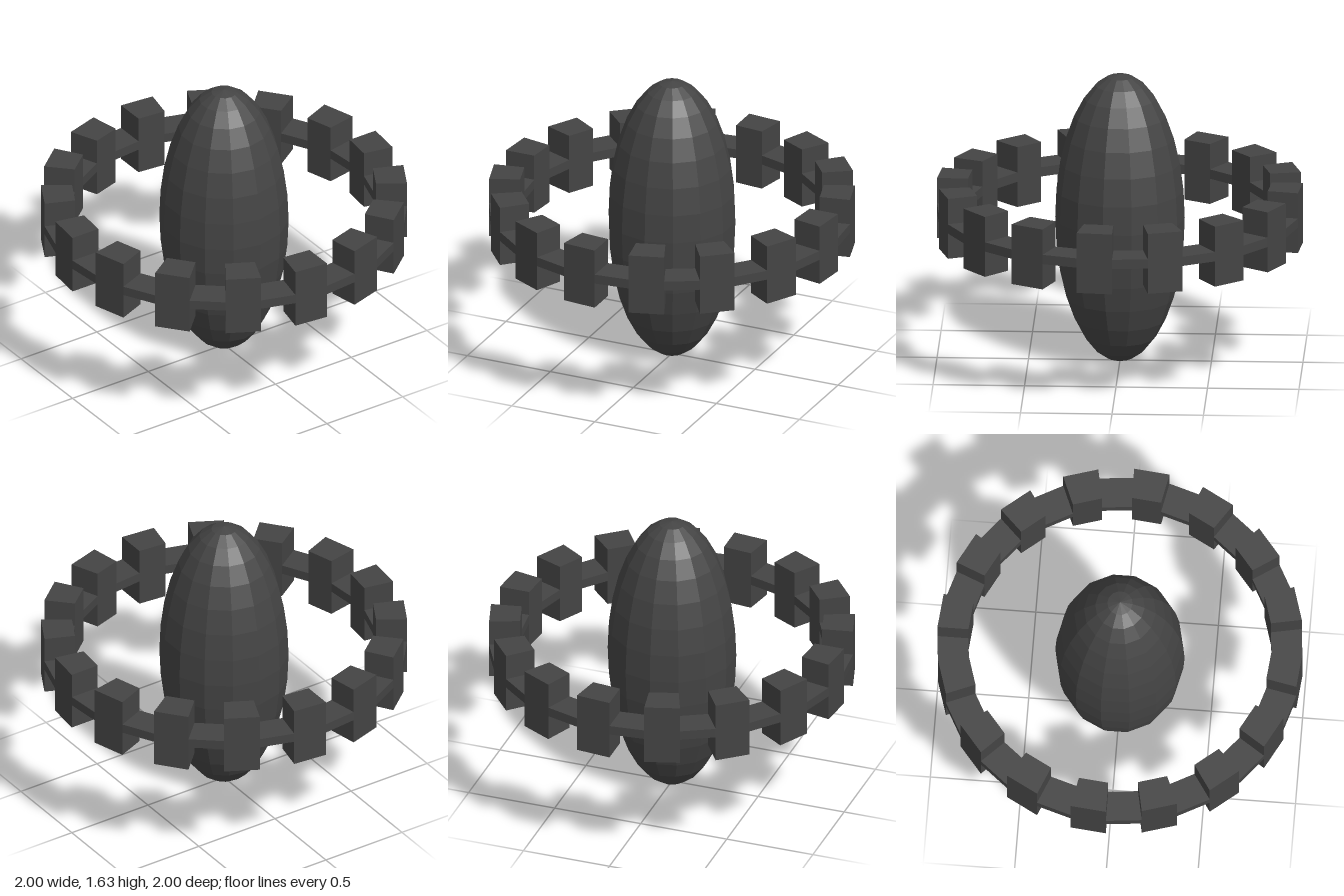
import * as THREE from 'three';

const SEGMENTS = 32;
const OUTER = 1, INNER = 0.83, RING_Y = 0.855;

// One straight-sided ring segment, spanning angles a0 to a1 measured from +z towards +x
function ringSegment(a0, a1, height) {
  const at = (r, a) => new THREE.Vector2(r * Math.sin(a), -r * Math.cos(a));
  const shape = new THREE.Shape([at(OUTER, a0), at(OUTER, a1), at(INNER, a1), at(INNER, a0)]);
  const geo = new THREE.ExtrudeGeometry(shape, { depth: height, bevelEnabled: false });
  return geo.rotateX(-Math.PI / 2).translate(0, RING_Y - height / 2, 0);
}

export function createModel() {
  const model = new THREE.Group();
  model.name = 'ringedPod';
  const material = new THREE.MeshStandardMaterial({ color: 0x444444, flatShading: true });

  // Faceted upright ellipsoid core
  const coreGeo = new THREE.SphereGeometry(1, 14, 16, Math.PI / 2);
  coreGeo.scale(0.354, 0.817, 0.354).translate(0, 0.817, 0);
  const core = new THREE.Mesh(coreGeo, material);
  core.name = 'core';
  model.add(core);

  // Surrounding ring: tall blocks alternating with thin connecting bars
  const ring = new THREE.Group();
  ring.name = 'ring';
  const step = (Math.PI * 2) / SEGMENTS;
  for (let k = 0; k < SEGMENTS; k++) {
    const tall = k % 2 === 1;
    const mesh = new THREE.Mesh(ringSegment(k * step, (k + 1) * step, tall ? 0.342 : 0.053), material);
    mesh.name = tall ? 'ringBlock' : 'ringBar';
    ring.add(mesh);
  }
  model.add(ring);
  return model;
}
